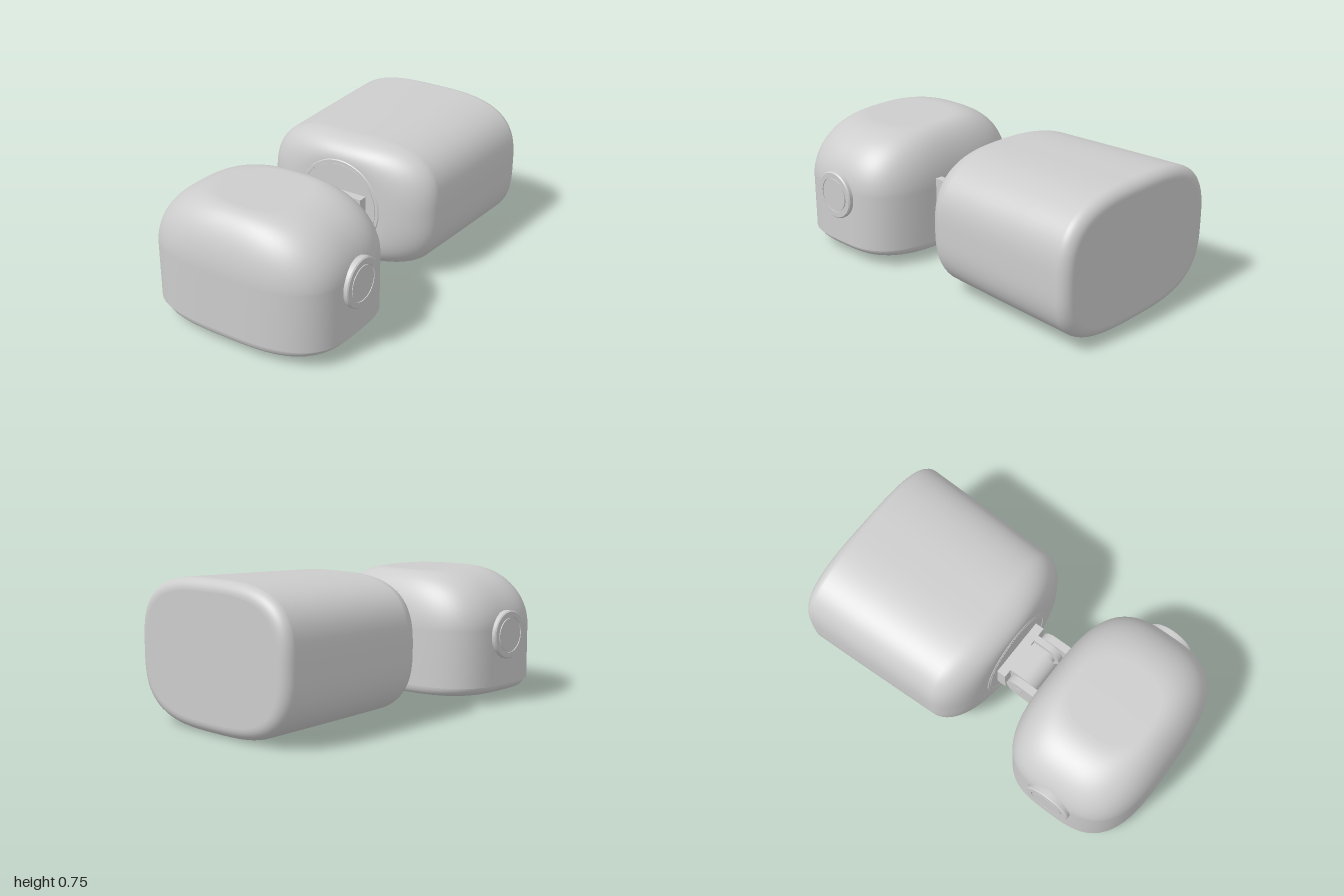
import * as THREE from 'three';

// Loft of rounded-rectangle (superellipse) sections along y; rows: [y, halfX, halfZ, exponent], bottom to top
function loft(rows, seg = 96) {
  const pos = [], idx = [];
  const ring = ([y, a, b, n]) => {
    const start = pos.length / 3;
    for (let j = 0; j < seg; j++) {
      const t = (j / seg) * Math.PI * 2, c = Math.cos(t), s = Math.sin(t);
      const r = Math.pow(Math.abs(c) ** n + Math.abs(s) ** n, -1 / n);
      pos.push(a * r * c, y, b * r * s);
    }
    return start;
  };
  const starts = rows.map(ring);
  for (let i = 0; i < rows.length - 1; i++) {
    for (let j = 0; j < seg; j++) {
      const k = (j + 1) % seg, p = starts[i], q = starts[i + 1];
      idx.push(p + j, q + j, p + k, q + j, q + k, p + k);
    }
  }
  // flat end caps with their own vertices
  [rows[0], rows[rows.length - 1]].forEach((row, top) => {
    const s = ring(row), c = pos.length / 3;
    pos.push(0, row[0], 0);
    for (let j = 0; j < seg; j++) {
      const k = (j + 1) % seg;
      if (top) idx.push(c, s + k, s + j);
      else idx.push(c, s + j, s + k);
    }
  });
  const g = new THREE.BufferGeometry();
  g.setAttribute('position', new THREE.Float32BufferAttribute(pos, 3));
  g.setIndex(idx);
  g.computeVertexNormals();
  return g;
}

// Rows along a quarter ellipse, from the full section (f = 0) to the flat end (f = 1)
function quarter(y, dy, [fx, fz], [ix, iz], n0, n1, steps = 14) {
  return Array.from({ length: steps + 1 }, (_, i) => {
    const f = i / steps, t = f * Math.PI / 2, c = Math.cos(t);
    return [y + dy * Math.sin(t), ix + (fx - ix) * c, iz + (fz - iz) * c, n0 + (n1 - n0) * f];
  });
}

// Round button with a narrow groove, facing +y, its face at y = 0
function buttonGeometry(r, depth, grooveR) {
  const pts = [[r, -depth], [r, -0.006], [r - 0.006, 0], [grooveR + 0.006, 0],
    [grooveR + 0.006, -0.006], [grooveR, -0.006], [grooveR, 0], [0, 0]];
  const flat = [];
  for (let i = 0; i < pts.length - 1; i++) flat.push([pts[i], pts[i + 1]]);
  return flat.map(pair => new THREE.LatheGeometry(pair.map(p => new THREE.Vector2(...p)), 56));
}

export function createModel() {
  const model = new THREE.Group();
  const grey = new THREE.MeshStandardMaterial({ color: 0xcccccc });
  grey.name = 'light grey';
  const add = (name, geo, parent = model) => {
    const m = new THREE.Mesh(geo, grey);
    m.name = name;
    parent.add(m);
    return m;
  };
  const addButton = (name, r, depth, grooveR) => {
    const g = new THREE.Group();
    g.name = name;
    buttonGeometry(r, depth, grooveR).forEach(geo => add(name + 'Surface', geo, g));
    model.add(g);
    return g;
  };

  // Front housing: straight walls, domed shoulders, small flat top
  const shell = [[0.095, 0.54, 0.385, 3.2], [0.25, 0.54, 0.385, 3.2],
    ...quarter(0.4, 0.3, [0.54, 0.385], [0.22, 0.215], 3.2, 2.6, 20)];
  add('frontHousing', loft(shell)).position.z = 0.615;

  // Base plate, slightly inset, with a rounded lower edge
  const base = quarter(0.097, -0.052, [0.528, 0.376], [0.46, 0.345], 3.2, 3.2, 8).reverse();
  add('basePlate', loft(base)).position.z = 0.615;
  for (const x of [-0.105, 0.105]) {
    add('baseFoot', new THREE.CylinderGeometry(0.07, 0.07, 0.008, 32)).position.set(x, 0.046, 0.6);
  }

  // Round side buttons
  for (const s of [-1, 1]) {
    const b = addButton('sideButton', 0.13, 0.07, 0.09);
    b.position.set(0.56 * s, 0.365, 0.615);
    b.rotation.z = -s * Math.PI / 2;
  }

  // Rear housing: gentle taper, soft front end, tight rounded back edge
  const body = [
    ...quarter(-0.94, -0.06, [0.54, 0.373], [0.48, 0.315], 3.1, 3.1, 10).reverse(),
    [-0.7, 0.533, 0.368, 3.1], [-0.4, 0.522, 0.361, 3.1],
    ...quarter(-0.17, 0.17, [0.513, 0.355], [0.24, 0.24], 3.1, 2.2, 20)];
  const rear = loft(body);
  rear.rotateX(Math.PI / 2);
  add('rearHousing', rear).position.y = 0.373;

  // Round mounting disc on the rear housing's front
  const disc = addButton('mountDisc', 0.25, 0.03, 0.225);
  disc.position.set(0, 0.373, 0.004);
  disc.rotation.x = Math.PI / 2;

  // Hinge: tongue with a rounded end, extruded across x. dir is the way the round end faces in z
  const hingeY = 0.378, hingeZ = 0.14, r = 0.077;
  const tongue = (name, x0, x1, zRoot, rad = r) => {
    const dir = Math.sign(hingeZ - zRoot), len = Math.abs(hingeZ - zRoot);
    const s = new THREE.Shape();
    s.moveTo(-len, -rad);
    s.lineTo(0, -rad);
    s.absarc(0, 0, rad, -Math.PI / 2, Math.PI / 2, false);
    s.lineTo(-len, rad);
    s.closePath();
    const g = new THREE.ExtrudeGeometry(s, { depth: x1 - x0, bevelEnabled: false, curveSegments: 24 });
    g.translate(0, 0, -(x1 - x0) / 2);
    g.rotateY(-dir * Math.PI / 2);
    add(name, g).position.set((x0 + x1) / 2, hingeY, hingeZ);
  };
  tongue('hingeTongue', -0.12, 0.055, 0);
  tongue('hingeTongue', 0.085, 0.12, 0);
  tongue('hingeCore', 0.055, 0.085, 0, 0.05);
  tongue('hingeLug', -0.168, -0.125, 0.32);
  tongue('hingeLug', 0.125, 0.168, 0.32);
  add('hingeBracket', new THREE.BoxGeometry(0.336, 0.154, 0.06)).position.set(0, hingeY, 0.025);
  const pin = add('hingePin', new THREE.CylinderGeometry(0.027, 0.027, 0.342, 28));
  pin.rotation.z = Math.PI / 2;
  pin.position.set(0, hingeY, hingeZ);

  return model;
}
